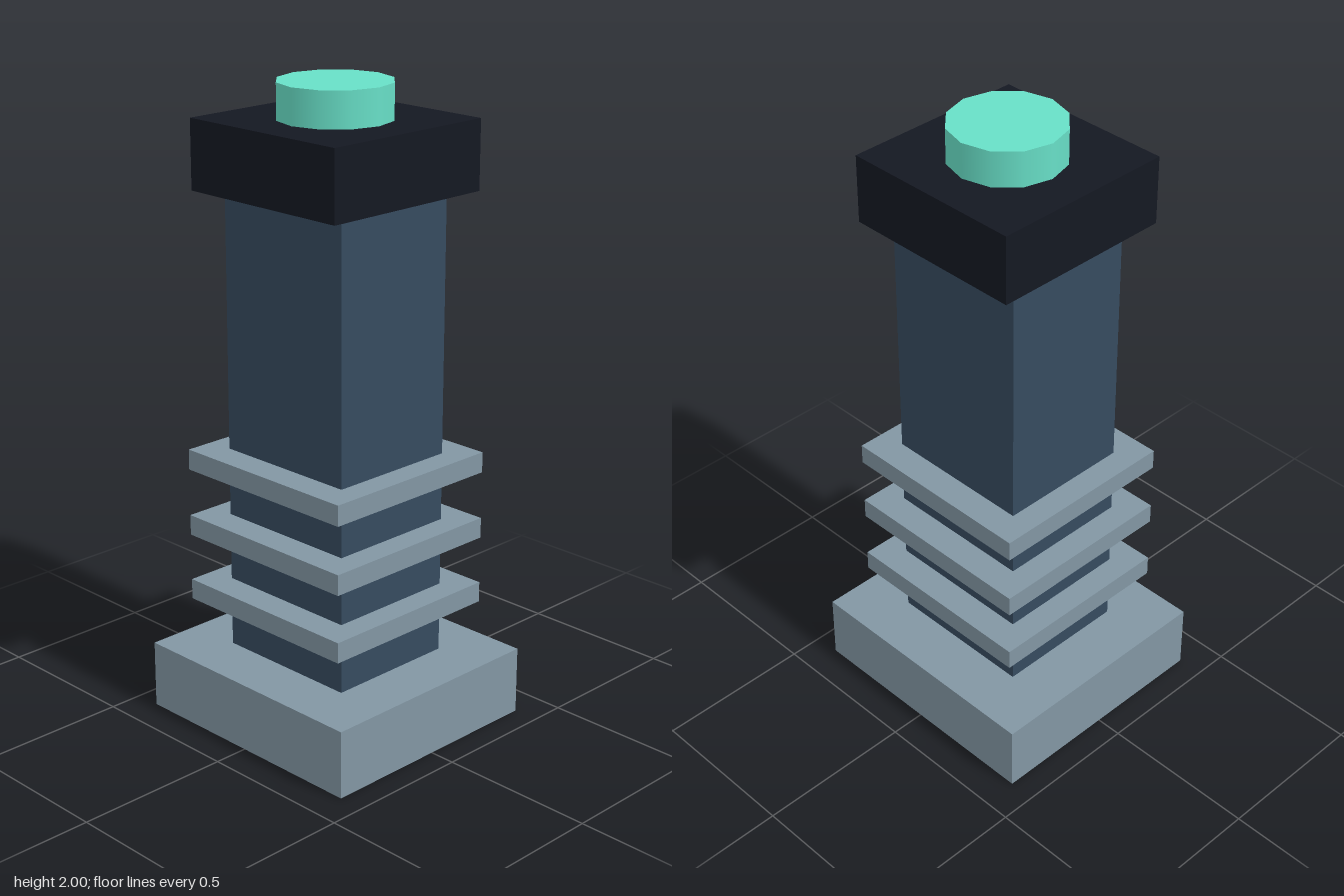
import * as THREE from 'three';

const paint = (color) => new THREE.MeshStandardMaterial({ color });

export function createModel() {
  const model = new THREE.Group();
  model.name = 'tower';
  const steel = paint(0x8296a3);
  const slate = paint(0x364b5f);
  const dark = paint(0x141822);
  const mint = paint(0x68dfc7);

  function add(name, geometry, material, y) {
    const mesh = new THREE.Mesh(geometry, material);
    mesh.name = name;
    mesh.position.y = y;
    model.add(mesh);
  }

  // Box spanning two heights, centred on the tower's axis
  function block(name, width, depth, bottom, top, material) {
    const height = top - bottom;
    add(name, new THREE.BoxGeometry(width, height, depth), material, bottom + height / 2);
  }

  block('base', 0.78, 0.834, 0, 0.216, steel);
  block('column', 0.43, 0.484, 0.216, 1.676, slate);

  // Three evenly spaced cooling fins around the lower column
  for (let i = 0; i < 3; i++) {
    const bottom = 0.374 + i * 0.215;
    block(`fin${i + 1}`, 0.618, 0.645, bottom, bottom + 0.065, steel);
  }

  block('cap', 0.592, 0.592, 1.676, 1.89, dark);

  // Twelve-sided light on top
  add('beacon', new THREE.CylinderGeometry(0.175, 0.175, 0.16, 12), mint, 1.92);

  return model;
}
